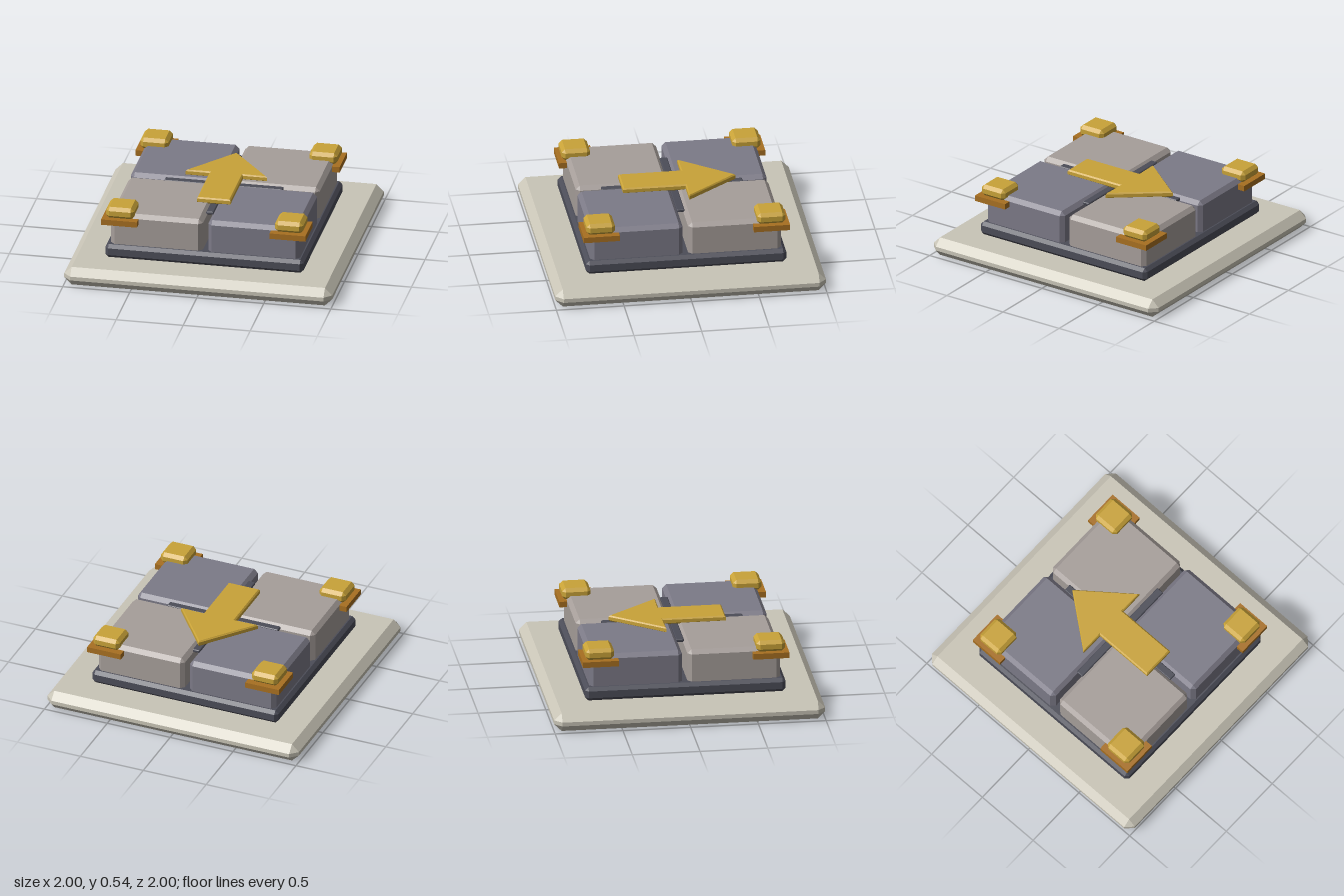
import * as THREE from 'three';
import { ConvexGeometry } from 'three/addons/geometries/ConvexGeometry.js';

const mat = (name, color) => {
  const m = new THREE.MeshStandardMaterial({ color });
  m.name = name;
  return m;
};

// Box with all twelve edges chamfered by c, given as min and max corners
function chamferBox(min, max, c) {
  const mid = min.map((v, i) => (v + max[i]) / 2);
  const half = min.map((v, i) => (max[i] - v) / 2);
  const points = [];
  for (const sx of [-1, 1]) for (const sy of [-1, 1]) for (const sz of [-1, 1]) {
    const s = [sx, sy, sz];
    for (let full = 0; full < 3; full++) {
      const p = s.map((k, i) => mid[i] + k * (half[i] - (i === full ? 0 : c)));
      points.push(new THREE.Vector3(...p));
    }
  }
  return new ConvexGeometry(points);
}

export function createModel() {
  const model = new THREE.Group();
  const stone = mat('pale stone', 0xc9c5b7);
  const dark = mat('dark slate', 0x4c4d58);
  const slate = mat('slate tile', 0x7c7a87);
  const taupe = mat('taupe tile', 0xa69e9a);
  const gold = mat('gold', 0xc9a338);
  const bronze = mat('bronze', 0xa87021);

  const add = (name, geometry, material, parent = model) => {
    const mesh = new THREE.Mesh(geometry, material);
    mesh.name = name;
    parent.add(mesh);
    return mesh;
  };

  // Stepped base
  add('base', chamferBox([-1, 0, -1], [1, 0.14, 1], 0.055), stone);
  add('plinth', chamferBox([-0.74, 0.14, -0.74], [0.74, 0.243, 0.74], 0.025), dark);

  // Four tiles in a checker pattern, each with a corner bracket and cap
  for (const sx of [-1, 1]) for (const sz of [-1, 1]) {
    const span = (s, a, b) => (s > 0 ? [a, b] : [-b, -a]);
    const block = (x0, x1, y0, y1, z0, z1, c) => {
      const x = span(sx, x0, x1), z = span(sz, z0, z1);
      return chamferBox([x[0], y0, z[0]], [x[1], y1, z[1]], c);
    };
    add('tile', block(0.02, 0.705, 0.2, 0.485, 0.02, 0.705, 0.03), sx === sz ? slate : taupe);

    const corner = new THREE.Group();
    corner.name = 'cornerMount';
    model.add(corner);
    add('cornerCap', block(0.525, 0.735, 0.452, 0.54, 0.525, 0.735, 0.025), gold, corner);
    const armX = new THREE.BoxGeometry(0.267, 0.043, 0.07);
    armX.translate(sx * 0.6285, 0.4345, sz * 0.727);
    add('bracketArm', armX, bronze, corner);
    const armZ = new THREE.BoxGeometry(0.07, 0.043, 0.197);
    armZ.translate(sx * 0.727, 0.4345, sz * 0.5935);
    add('bracketArm', armZ, bronze, corner);
  }

  // Crossed bars bridging the gaps
  add('crossBarX', chamferBox([-0.44, 0.455, -0.028], [0.44, 0.478, 0.028], 0.005), dark);
  add('crossBarZ', chamferBox([-0.028, 0.455, -0.52], [0.028, 0.478, 0.52], 0.005), dark);

  // Arrow pointing to the back
  const outline = [[0, 0.47], [-0.305, 0.083], [-0.125, 0.083], [-0.125, -0.38],
    [0.125, -0.38], [0.125, 0.083], [0.305, 0.083]];
  const shape = new THREE.Shape(outline.map(([x, y]) => new THREE.Vector2(x, y)));
  const arrow = new THREE.ExtrudeGeometry(shape, {
    depth: 0.025, bevelEnabled: true, bevelSegments: 1,
    bevelSize: 0.01, bevelThickness: 0.01, bevelOffset: -0.01,
  });
  arrow.rotateX(-Math.PI / 2);
  arrow.translate(0, 0.487, 0);
  add('arrow', arrow, gold);

  return model;
}
